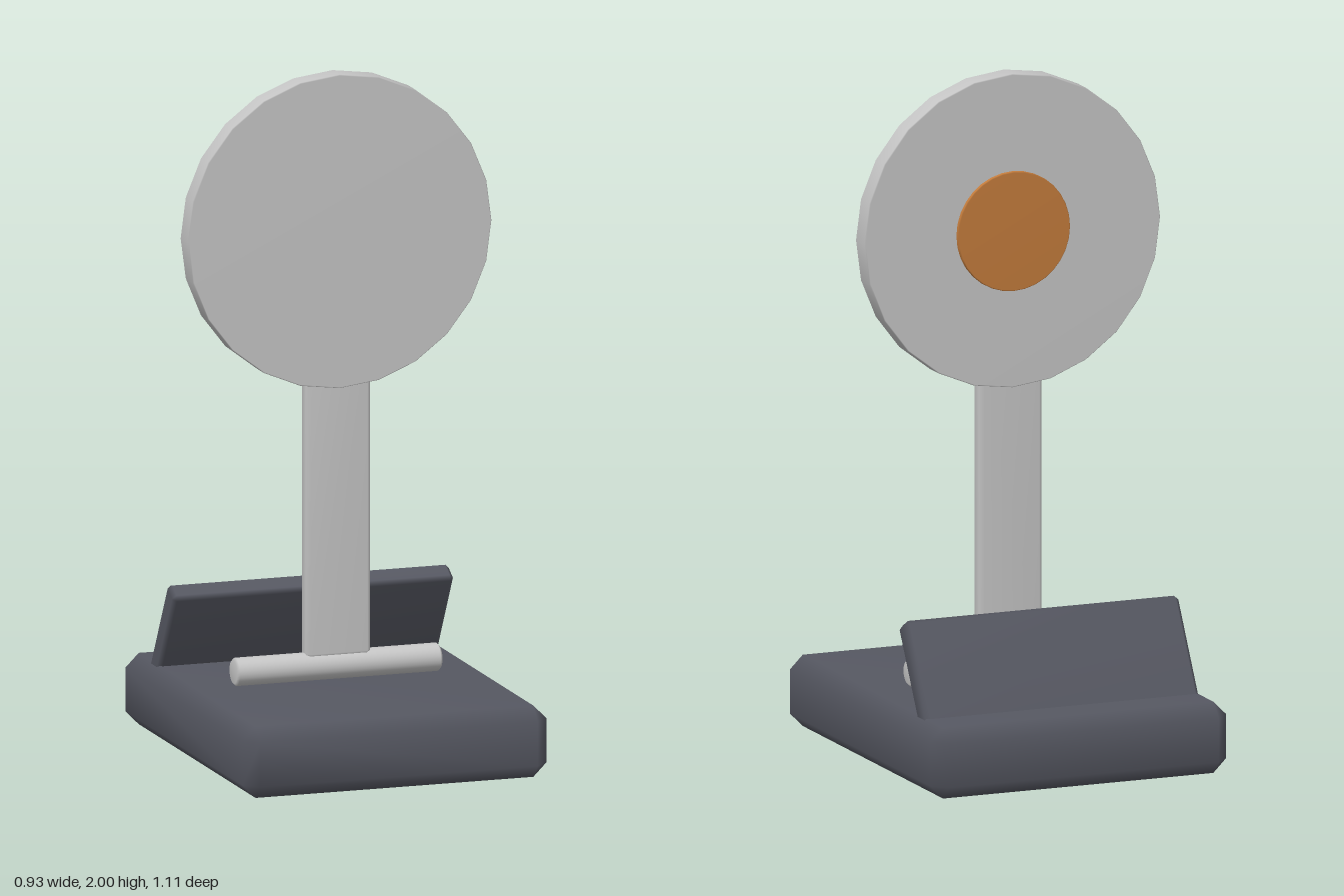
import * as THREE from 'three';
import { mergeVertices } from 'three/addons/utils/BufferGeometryUtils.js';
import { ConvexGeometry } from 'three/addons/geometries/ConvexGeometry.js';

// Box with every edge cut by a single soft-shaded chamfer
function chamferBox(w, h, d, c) {
  const points = [];
  for (const x of [-1, 1]) for (const y of [-1, 1]) for (const z of [-1, 1]) {
    for (let axis = 0; axis < 3; axis++) {
      const inset = [c, c, c];
      inset[axis] = 0;
      points.push(new THREE.Vector3(x * (w / 2 - inset[0]), y * (h / 2 - inset[1]), z * (d / 2 - inset[2])));
    }
  }
  const hull = new ConvexGeometry(points);
  hull.deleteAttribute('normal');
  const geometry = mergeVertices(hull, 1e-5);
  geometry.computeVertexNormals();
  return geometry;
}

// Soft-shaded disc or rod along y with a small chamfer at both rims
function softDisc(radius, height, c, sides) {
  const h = height / 2;
  const profile = [[0, -h], [radius - c, -h], [radius, -h + c], [radius, h - c], [radius - c, h], [0, h]];
  return new THREE.LatheGeometry(profile.map(([x, y]) => new THREE.Vector2(x, y)), sides);
}

export function createModel() {
  const model = new THREE.Group();
  const material = (name, color) => {
    const m = new THREE.MeshStandardMaterial({ color });
    m.name = name;
    return m;
  };
  const darkGrey = material('dark grey', 0x565862);
  const lightGrey = material('light grey', 0xc6c6c6);
  const copper = material('copper', 0xc47c3c);

  const add = (name, geometry, mat, x, y, z) => {
    const mesh = new THREE.Mesh(geometry, mat);
    mesh.name = name;
    mesh.position.set(x, y, z);
    model.add(mesh);
    return mesh;
  };

  // Base block and the leaning rest behind the stem
  add('base', chamferBox(0.925, 0.21, 1.105, 0.04), darkGrey, 0, 0.107, 0);
  const rest = add('backRest', chamferBox(0.855, 0.36, 0.068, 0.012), darkGrey, 0, 0.301, -0.31);
  rest.rotation.x = Math.PI / 6;

  // Hinge rod across the base, carrying the upright
  const hinge = add('hingeRod', softDisc(0.041, 0.625, 0.007, 24), lightGrey, 0, 0.256, 0);
  hinge.rotation.z = Math.PI / 2;
  add('stem', chamferBox(0.196, 0.88, 0.058, 0.012), lightGrey, 0, 0.724, 0);

  // Round head with a button on its back
  const head = add('headDisc', softDisc(0.462, 0.068, 0.003, 24), lightGrey, 0, 1.538, 0);
  head.rotation.x = Math.PI / 2;
  const button = add('backButton', softDisc(0.176, 0.024, 0.003, 32), copper, 0, 1.538, -0.033);
  button.rotation.x = Math.PI / 2;

  return model;
}
